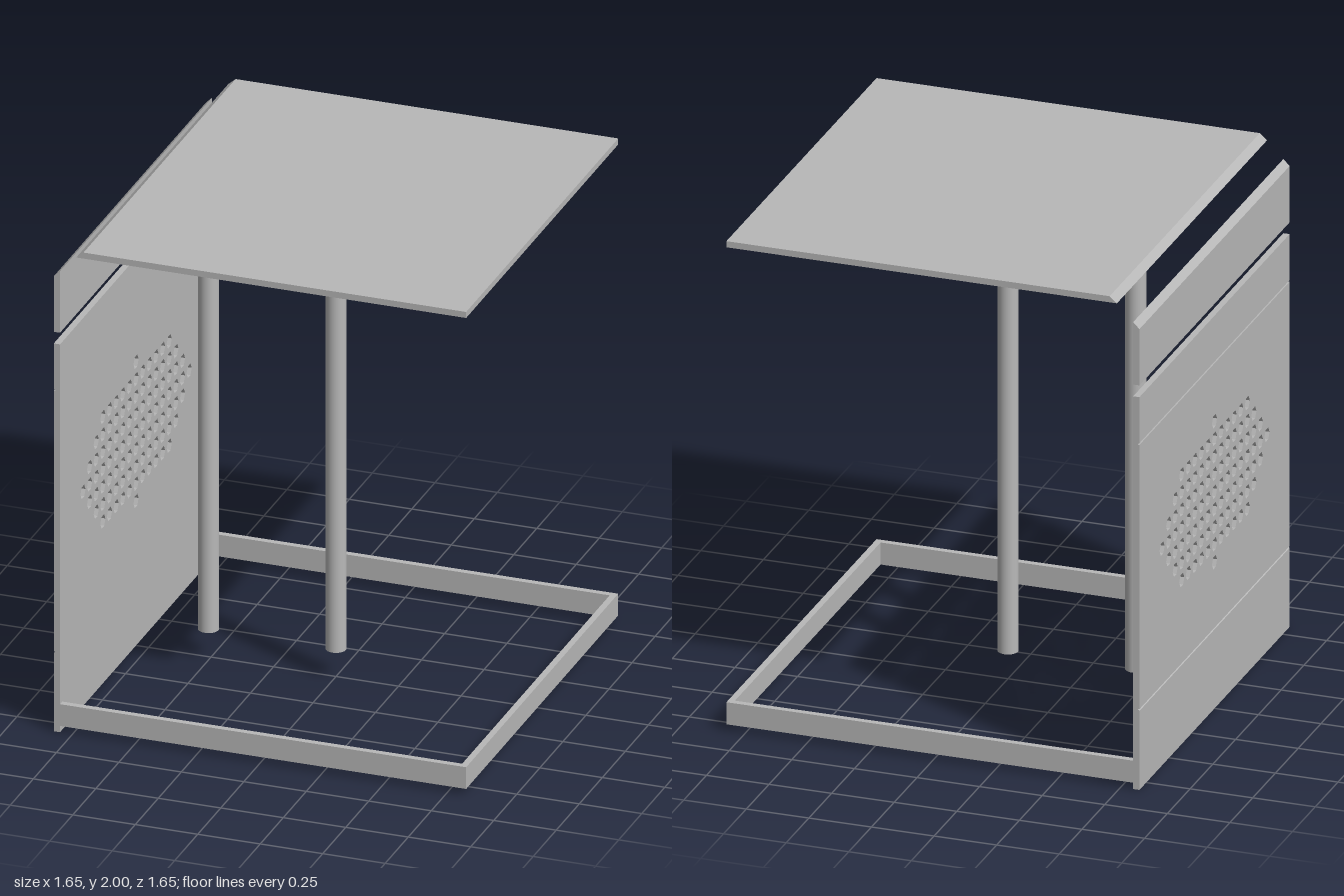
import * as THREE from 'three';

const HALF = 0.825; // half width of the cabinet
const T = 0.025; // sheet thickness

export function createModel() {
  const group = new THREE.Group();
  const grey = new THREE.MeshStandardMaterial({ color: 0xb8b8b8 });

  const add = (name, geometry, x = 0, y = 0, z = 0) => {
    const mesh = new THREE.Mesh(geometry, grey);
    mesh.name = name;
    mesh.position.set(x, y, z);
    group.add(mesh);
    return mesh;
  };
  const polygon = (points) => new THREE.Shape(points.map(([x, y]) => new THREE.Vector2(x, y)));

  // An x-y profile swept over the full depth
  const addSheet = (name, points) =>
    add(name, new THREE.ExtrudeGeometry(polygon(points), { depth: 2 * HALF, bevelEnabled: false }), 0, 0, -HALF);

  // Table top and upper strip, mitred where they face each other
  addSheet('topPlate', [[-0.735, 1.975], [HALF, 1.975], [HALF, 2], [-0.706, 2]]);
  addSheet('upperStrip', [[-HALF, 1.653], [-0.8, 1.653], [-0.8, 1.908], [-HALF, 1.883]]);

  // Side panel, plain ends with a small groove next to the perforated middle
  const low = 0.33, high = 1.41, g = 0.007;
  addSheet('panelTop', [[-0.8, high], [-0.8, 1.605], [-HALF, 1.605], [-HALF, high + g], [-HALF + g, high]]);
  addSheet('panelBottom', [[-0.8, 0], [-0.8, low], [-HALF + g, low], [-HALF, low - g], [-HALF, 0]]);

  // Perforated middle: rows of hexagonal holes
  const panel = polygon([[-HALF, low], [HALF, low], [HALF, high], [-HALF, high]]);
  const pitch = 0.072, radius = 0.028, centreY = 0.886;
  const halfCounts = [8, 7, 6, 5, 0]; // holes on either side of the middle, by row distance
  for (let row = -4; row <= 4; row++) {
    const n = halfCounts[Math.abs(row)];
    for (let col = -n; col <= n; col++) {
      const hole = new THREE.Path();
      for (let i = 0; i < 6; i++) {
        const a = (-i * Math.PI) / 3;
        const x = col * pitch + radius * Math.cos(a);
        const y = centreY + row * pitch + radius * Math.sin(a);
        if (i === 0) hole.moveTo(x, y);
        else hole.lineTo(x, y);
      }
      hole.closePath();
      panel.holes.push(hole);
    }
  }
  const middle = add('perforatedPanel',
    new THREE.ExtrudeGeometry(panel, { depth: T, bevelEnabled: false }), -HALF);
  middle.rotation.y = Math.PI / 2;

  // Base frame, open on the panel side
  const frameY = 0.071, frameH = 0.09;
  for (const [name, side] of [['frameFront', 1], ['frameBack', -1]]) {
    add(name, new THREE.BoxGeometry(HALF + 0.8, frameH, T), (HALF - 0.8) / 2, frameY, side * (HALF - T / 2));
  }
  add('frameSide', new THREE.BoxGeometry(T, frameH, 2 * (HALF - T)), HALF - T / 2, frameY, 0);

  // Hollow posts: separate walls and end rings keep the rims sharp
  const bottom = 0.116, top = 1.952, outer = 0.04, inner = 0.02;
  const wall = (points) => new THREE.LatheGeometry(points.map(([r, y]) => new THREE.Vector2(r, y)), 32);
  for (const [name, x] of [['sidePost', -0.51], ['centrePost', 0]]) {
    add(name, wall([[outer, bottom], [outer, top]]), x);
    add(name + 'Bore', wall([[inner, top], [inner, bottom]]), x);
    add(name + 'TopRim', wall([[outer, top], [inner, top]]), x);
    add(name + 'BottomRim', wall([[inner, bottom], [outer, bottom]]), x);
  }
  return group;
}
